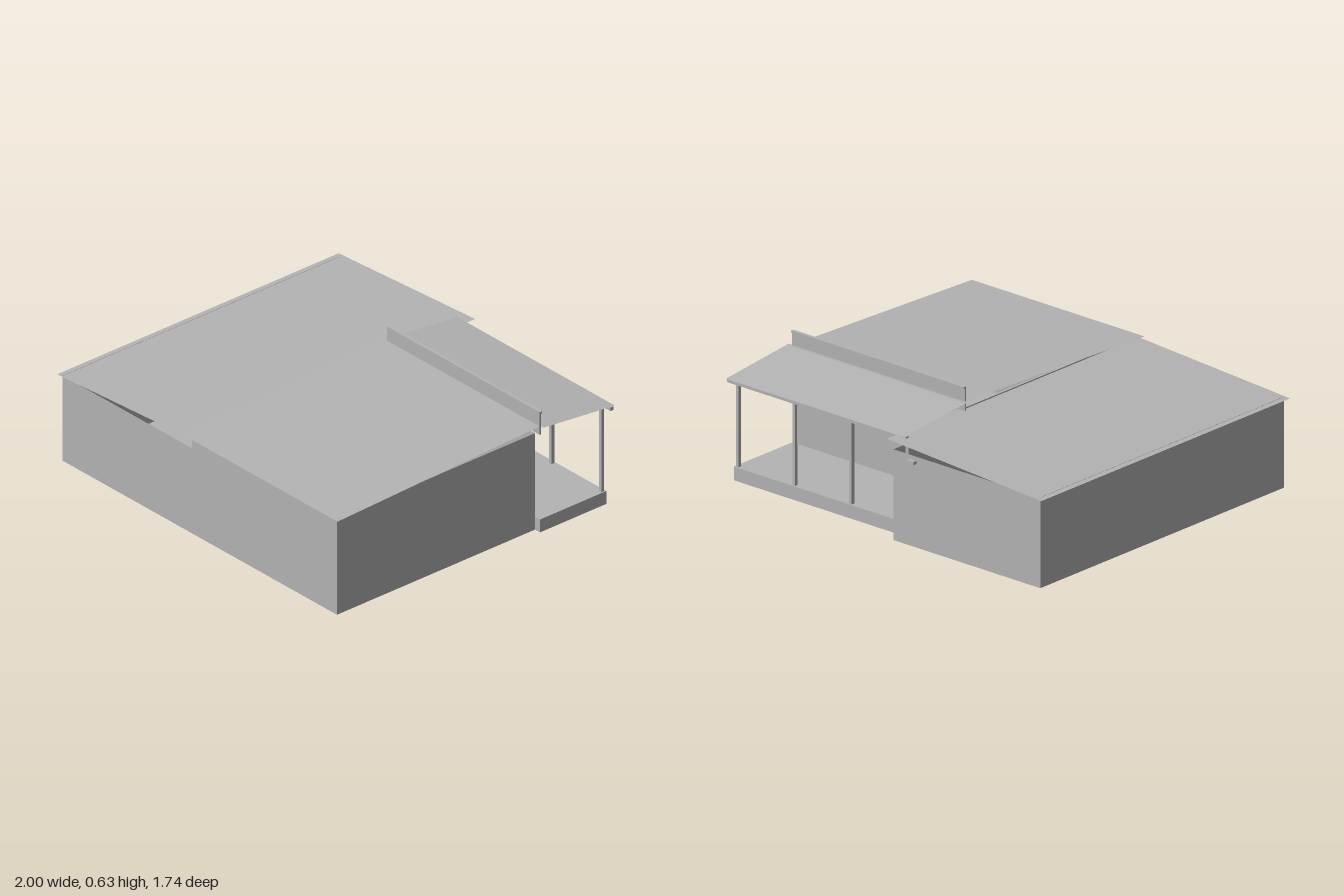
import * as THREE from 'three';

const grey = new THREE.MeshStandardMaterial({ color: 0xb4b4b4, side: THREE.DoubleSide });
grey.name = 'plain grey';

export function createModel() {
  const house = new THREE.Group();
  house.name = 'house';

  const add = (name, geometry) => {
    const mesh = new THREE.Mesh(geometry, grey);
    mesh.name = name;
    house.add(mesh);
    return mesh;
  };

  // Box given by its extents on each axis
  const boxGeometry = ([x0, x1], [y0, y1], [z0, z1]) =>
    new THREE.BoxGeometry(x1 - x0, y1 - y0, z1 - z0)
      .translate((x0 + x1) / 2, (y0 + y1) / 2, (z0 + z1) / 2);
  const box = (name, x, y, z) => add(name, boxGeometry(x, y, z));

  // Four walls and a floor, open at the top
  const shell = (name, x, y, z) => {
    const g = boxGeometry(x, y, z);
    const index = Array.from(g.index.array);
    index.splice(12, 6);
    g.setIndex(index);
    g.clearGroups();
    return add(name, g);
  };

  // Thin roof sheet whose height follows a slope rule
  const roof = (name, [x0, x1], [z0, z1], height) => {
    const g = new THREE.PlaneGeometry(x1 - x0, z1 - z0).rotateX(-Math.PI / 2)
      .translate((x0 + x1) / 2, 0, (z0 + z1) / 2);
    const p = g.attributes.position;
    for (let i = 0; i < p.count; i++) p.setY(i, height(p.getX(i), p.getZ(i)));
    g.computeVertexNormals();
    return add(name, g);
  };
  const slope = (t, a, b, ya, yb) => ya + (yb - ya) * (t - a) / (b - a);

  // Two wings
  shell('lowWingWalls', [-0.97, -0.065], [0, 0.45], [-0.843, 0.845]);
  shell('highWingWalls', [-0.065, 0.948], [0, 0.51], [-0.367, 0.845]);

  // Single-pitch roofs
  roof('lowWingRoof', [-1, -0.045], [-0.87, 0.853], (x) => slope(x, -1, -0.045, 0.447, 0.505));
  roof('highWingRoof', [-0.092, 0.975], [-0.395, 0.865], (x, z) => slope(z, 0.865, -0.395, 0.511, 0.556));
  roof('porchRoof', [-0.107, 0.997], [-0.813, -0.376], (x, z) => slope(z, -0.813, -0.376, 0.511, 0.556));

  // Upright flashing board with a small lip where the roofs meet
  box('flashingBoard', [-0.092, 0.975], [0.51, 0.63], [-0.38, -0.372]);
  box('flashingLip', [-0.092, 0.975], [0.62, 0.63], [-0.387, -0.38]);

  // Porch slab, posts and eaves beam
  box('porchSlab', [-0.065, 0.983], [0, 0.068], [-0.773, -0.367]);
  for (let i = 0; i < 4; i++) {
    const x = 0.968 - i * 0.349;
    box('porchPost', [x - 0.008, x + 0.008], [0.068, 0.51], [-0.766, -0.748]);
  }
  box('eavesBeam', [-0.107, 0.997], [0.491, 0.51], [-0.803, -0.786]);

  // Small fitting on the back wall
  box('wallFitting', [-0.205, -0.165], [0.413, 0.429], [-0.862, -0.843]);

  return house;
}
